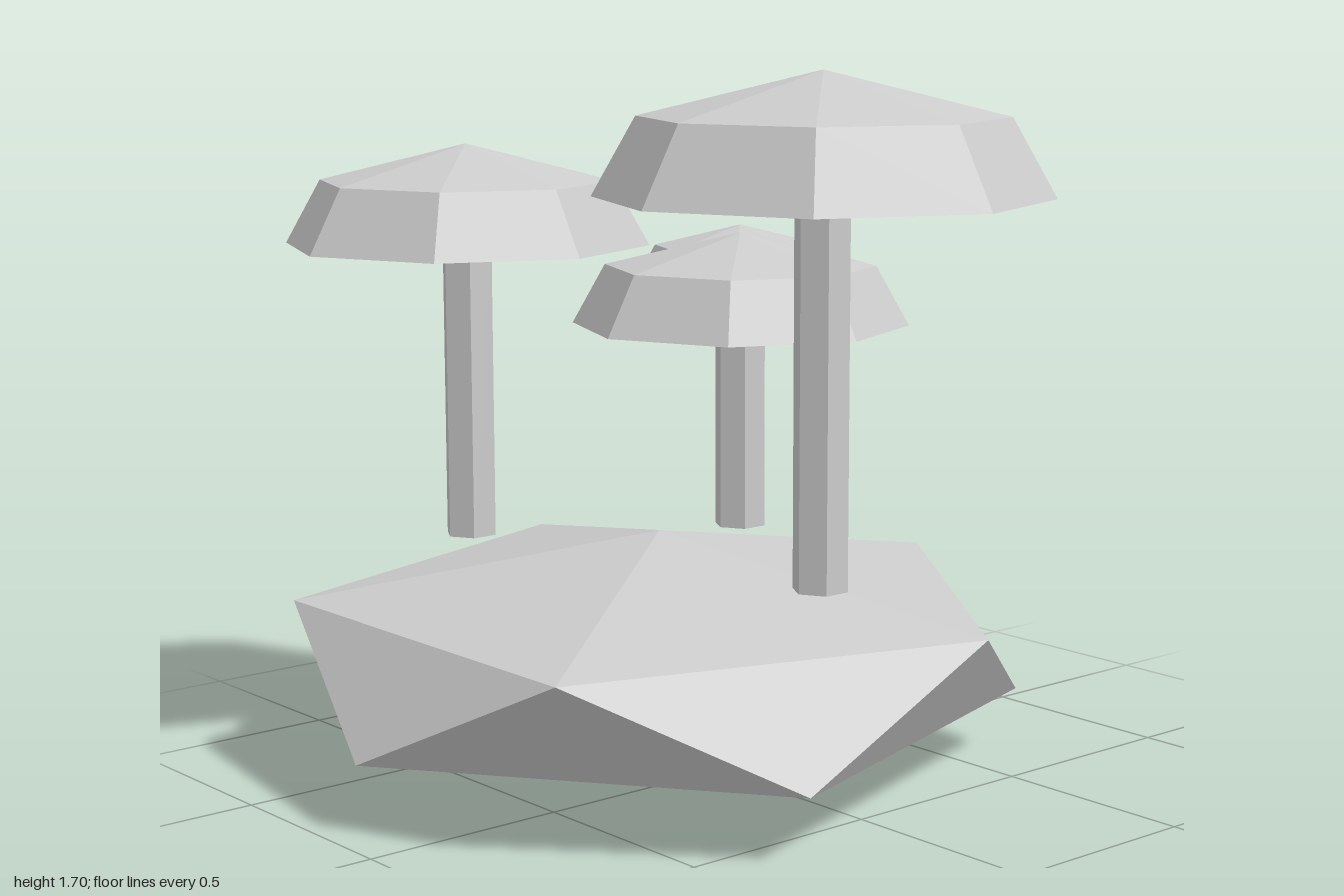
import * as THREE from 'three';
import { ConvexGeometry } from 'three/addons/geometries/ConvexGeometry.js';

const stone = new THREE.MeshStandardMaterial({ color: 0xcccccc, flatShading: true });
stone.name = 'pale grey';

const STEM_BASE = 0.555;

// Separate the faces so that each one is flat
function faceted(geometry) {
  const flat = geometry.toNonIndexed();
  flat.computeVertexNormals();
  return flat;
}

function part(name, geometry) {
  const mesh = new THREE.Mesh(geometry, stone);
  mesh.name = name;
  return mesh;
}

// Squashed twenty-sided boulder: two poles and two staggered rings of five
function makeRock() {
  const radius = 0.88;
  const points = [new THREE.Vector3(0, 0, 0), new THREE.Vector3(0, 0.575, 0)];
  for (let i = 0; i < 5; i++) {
    const a = (i * Math.PI * 2) / 5;
    const x = radius * Math.cos(a), z = radius * Math.sin(a);
    points.push(new THREE.Vector3(x, 0.418, z), new THREE.Vector3(-x, 0.16, -z));
  }
  const rock = part('rock', new ConvexGeometry(points));
  rock.position.set(-0.05, 0, -0.16);
  return rock;
}

// Hexagonal stem with an eight-sided cap
function makeMushroom({ name, x, z, radius, rim, shoulder, top }) {
  const group = new THREE.Group();
  group.name = name;
  group.position.set(x, 0, z);

  const height = rim + 0.02 - STEM_BASE;
  const stemShape = new THREE.CylinderGeometry(0.064, 0.064, height, 6);
  stemShape.rotateY(Math.PI / 6);
  const stem = part('stem', faceted(stemShape));
  stem.position.y = STEM_BASE + height / 2;

  const profile = [
    [0, rim], [radius, rim], [radius * 0.805, shoulder], [0, top],
  ].map(([r, y]) => new THREE.Vector2(r, y));
  const cap = part('cap', faceted(new THREE.LatheGeometry(profile, 8)));

  group.add(stem, cap);
  return group;
}

export function createModel() {
  const model = new THREE.Group();
  model.name = 'mushroomRock';
  model.add(makeRock());
  [
    { name: 'frontMushroom', x: -0.127, z: 0.493, radius: 0.505, rim: 1.425, shoulder: 1.6, top: 1.7 },
    { name: 'backMushroom', x: -0.36, z: -0.505, radius: 0.44, rim: 1.263, shoulder: 1.415, top: 1.503 },
    { name: 'middleMushroom', x: 0.208, z: -0.16, radius: 0.413, rim: 1.055, shoulder: 1.2, top: 1.28 },
    { name: 'smallMushroom', x: 0.645, z: -0.66, radius: 0.285, rim: 1.08, shoulder: 1.18, top: 1.236 },
  ].forEach((spec) => model.add(makeMushroom(spec)));
  return model;
}
